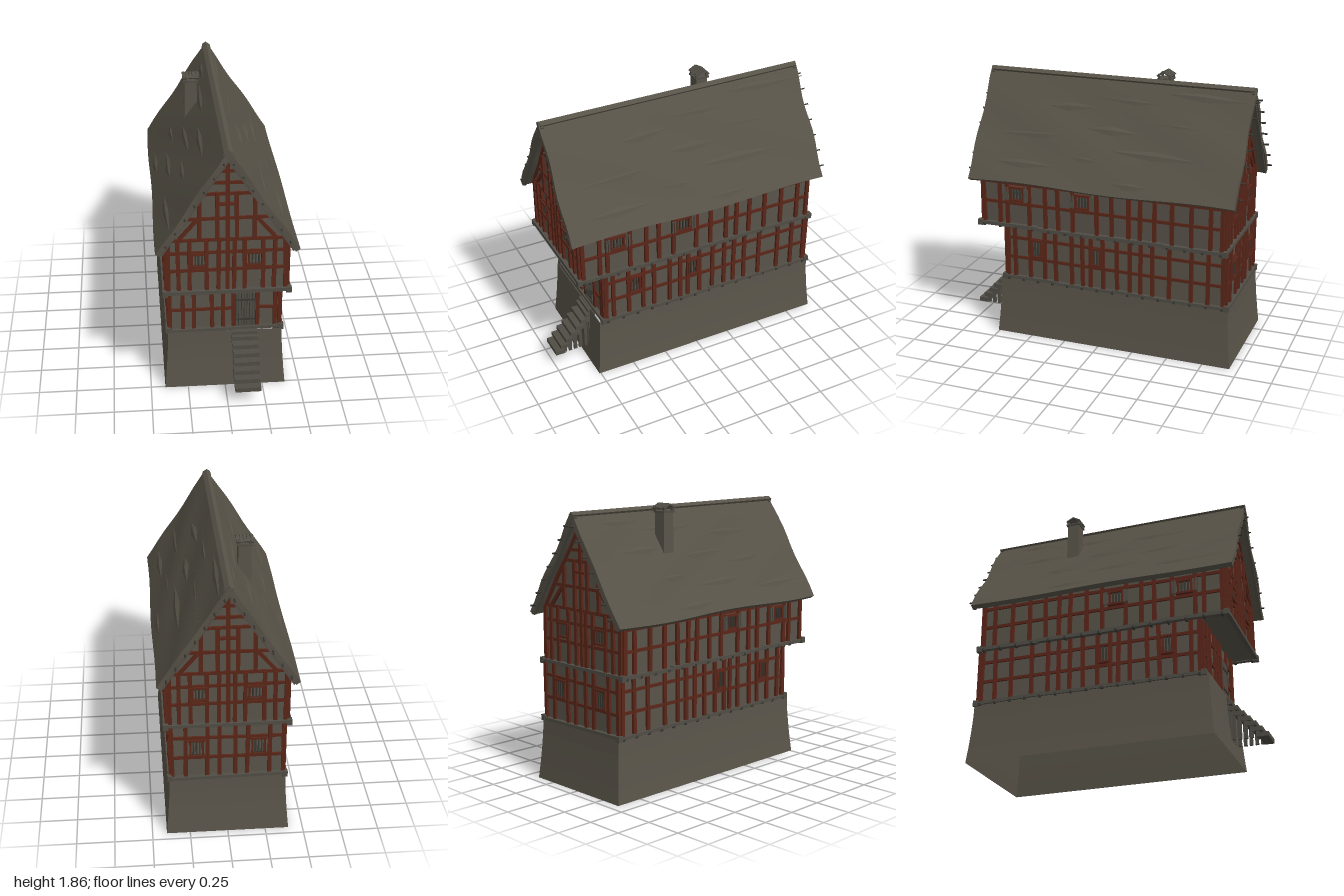
import * as THREE from 'three';

const mat = (name, color, side = THREE.FrontSide) => {
  const m = new THREE.MeshStandardMaterial({ color, side });
  m.name = name;
  return m;
};

export function createModel() {
  const plaster = mat('plaster', 0x59544a);
  const stone = mat('stone', 0x5a554a, THREE.DoubleSide);
  const thatch = mat('thatch', 0x575247);
  const timber = mat('redTimber', 0x5a2619);
  const greyWood = mat('greyWood', 0x504d45);
  const dark = mat('darkIron', 0x383731);

  const house = new THREE.Group();
  house.name = 'house';

  // Small seeded jitter in -s..s
  let seed = 7;
  const jit = (s) => {
    seed = (seed * 16807) % 2147483647;
    return (seed / 2147483647 * 2 - 1) * s;
  };
  const add = (parent, name, geo, m, x = 0, y = 0, z = 0) => {
    const mesh = new THREE.Mesh(geo, m);
    mesh.name = name;
    mesh.position.set(x, y, z);
    parent.add(mesh);
    return mesh;
  };
  const box = (parent, name, w, h, d, m, x, y, z) =>
    add(parent, name, new THREE.BoxGeometry(w, h, d), m, x, y, z);
  // Squared beam between two points
  const beam = (parent, name, a, b, w, d, m) => {
    const p = new THREE.Vector3(...a), q = new THREE.Vector3(...b);
    const dir = q.clone().sub(p);
    const mesh = box(parent, name, w, dir.length(), d, m, 0, 0, 0);
    mesh.position.copy(p).add(q).multiplyScalar(0.5);
    mesh.quaternion.setFromUnitVectors(new THREE.Vector3(0, 1, 0), dir.normalize());
    return mesh;
  };

  // Hollow battered base, open below
  const baseGeo = new THREE.CylinderGeometry(Math.SQRT1_2, Math.SQRT1_2, 0.42, 4, 4, true, Math.PI / 4).toNonIndexed();
  const bp = baseGeo.attributes.position;
  for (let i = 0; i < bp.count; i++) {
    const t = (bp.getY(i) + 0.21) / 0.42, flare = Math.pow(1 - t, 1.5);
    bp.setX(i, bp.getX(i) * (0.755 + 0.055 * flare));
    bp.setZ(i, bp.getZ(i) * (1.64 + 0.06 * flare));
  }
  baseGeo.computeVertexNormals();
  add(house, 'base', baseGeo, stone, 0, 0.21, -0.09);
  for (let i = 0; i < 13; i++)
    box(house, 'floorJoist', 0.74, 0.035, 0.035, greyWood, 0, 0.4, 0.64 - i * 0.122);

  // Storeys
  box(house, 'lowerStorey', 0.73, 0.42, 1.57, plaster, 0, 0.61, -0.10);
  const gable = new THREE.Shape([[-0.38, 0.81], [0.38, 0.81], [0.385, 1.18], [0, 1.775], [-0.385, 1.18]]
    .map(p => new THREE.Vector2(...p)));
  add(house, 'upperStorey', new THREE.ExtrudeGeometry(gable, { depth: 1.72, bevelEnabled: false }), plaster, 0, 0, -0.87);

  // Barred window with a timber frame, in wall coordinates
  const barWindow = (wall, u, y, w, h, shutters) => {
    const g = new THREE.Group();
    g.name = 'window';
    g.position.set(u, y, 0);
    wall.add(g);
    for (const s of [-1, 1]) {
      box(g, 'windowRail', w + 0.03, 0.014, 0.03, timber, 0, s * h / 2, 0.008);
      box(g, 'windowJamb', 0.012, h, 0.026, timber, s * w / 2, 0, 0.008);
      if (shutters) for (const k of [0.018, 0.036])
        box(g, 'shutterSlat', 0.011, h + jit(0.012), 0.012, greyWood, s * (w / 2 + k), 0, 0.022);
    }
    const n = Math.round(w / 0.021);
    for (let i = 1; i < n; i++)
      box(g, 'bar', 0.01, h, 0.012, dark, -w / 2 + w * i / n, 0, 0.01);
  };

  // Timber framing: wall local x runs along the wall, local z points outward
  const makeWall = (name, x, z, turn, y0, y1, posts, rails) => {
    const wall = new THREE.Group();
    wall.name = name;
    wall.position.set(x, 0, z);
    wall.rotation.y = turn;
    house.add(wall);
    for (const [u, a = y0, b = y1] of posts)
      beam(wall, 'post', [u + jit(0.004), a, 0.003], [u + jit(0.004), b, 0.003], 0.026, 0.028, timber);
    for (const [y, a, b] of rails)
      beam(wall, 'rail', [a, y + jit(0.004), 0.002], [b, y + jit(0.004), 0.002], 0.02, 0.02, timber);
    return wall;
  };

  // Long side walls, posts listed by z
  const lowPosts = [0.675, 0.62, 0.51, 0.4, 0.32, 0.2, 0.12, 0.06, -0.03, -0.13, -0.22, -0.3, -0.38, -0.5, -0.65, -0.77, -0.87];
  const upPosts = [0.84, 0.72, 0.66, 0.5, 0.38, 0.29, 0.18, 0.01, -0.1, -0.22, -0.3, -0.4, -0.52, -0.65, -0.78, -0.86];
  for (const s of [1, -1]) {
    const low = makeWall('lowerSideWall', s * 0.365, 0, s * Math.PI / 2, 0.42, 0.81,
      lowPosts.map(z => [-s * z]), [[0.72, -s * 0.68, s * 0.88], [0.575, -s * 0.68, s * 0.88]]);
    const up = makeWall('upperSideWall', s * 0.383, 0, s * Math.PI / 2, 0.82, 1.2,
      upPosts.map(z => [-s * z]), [[0.975, -s * 0.84, s * 0.86], [1.115, -s * 0.84, s * 0.86]]);
    for (const z of [0.46, 0.025]) barWindow(low, -s * z, 0.655, 0.065, 0.12, false);
    for (const z of [0.59, 0.11]) barWindow(up, -s * z, 1.045, 0.09, 0.09, true);
  }

  // Front and back lower walls
  const front = makeWall('lowerFrontWall', 0, 0.685, 0, 0.42, 0.81,
    [[-0.36], [-0.28], [-0.205], [-0.085], [-0.01], [0.06], [0.215], [0.335], [0.365]],
    [[0.715, -0.36, 0.36], [0.57, -0.36, 0.06], [0.57, 0.22, 0.36]]);
  const back = makeWall('lowerBackWall', 0, -0.885, Math.PI, 0.42, 0.81,
    [[-0.36], [-0.27], [-0.13], [-0.05], [0.05], [0.13], [0.27], [0.36]],
    [[0.72, -0.36, 0.36], [0.57, -0.36, 0.36]]);
  for (const u of [-0.2, 0.2]) barWindow(back, u, 0.645, 0.08, 0.12, false);

  // Plank door with ragged tops
  box(front, 'doorway', 0.13, 0.25, 0.008, dark, 0.137, 0.55, 0.005);
  for (let i = 0; i < 7; i++)
    box(front, 'doorPlank', 0.013, 0.28 + jit(0.02), 0.014, greyWood, 0.083 + i * 0.018, 0.565, 0.013);
  for (const y of [0.49, 0.64]) box(front, 'doorBatten', 0.12, 0.014, 0.01, dark, 0.137, y, 0.021);

  // Upper gable walls, front and back
  for (const [z, turn, name] of [[0.85, 0, 'frontGable'], [-0.87, Math.PI, 'backGable']]) {
    const top = (u) => 1.735 - Math.abs(u) * 1.545;
    const wall = makeWall(name, 0, z, turn, 0.82, 1.19,
      [[-0.37], [-0.31], [-0.235], [-0.13], [-0.055], [0.045], [0.11], [0.23], [0.3], [0.37], [0, 0.82, 1.76],
        [-0.06, 1.19, 1.52], [0.06, 1.19, 1.52], [-0.17, 1.19, top(0.17)], [0.17, 1.19, top(0.17)]],
      [[0.97, -0.38, 0.38], [1.1, -0.38, 0.38], [1.19, -0.38, 0.38], [1.34, -0.26, 0.26],
        [1.51, -0.15, 0.15], [1.58, -0.1, 0.1], [1.66, -0.06, 0.06]]);
    for (const s of [-1, 1]) {
      barWindow(wall, s * 0.18, 1.045, 0.085, 0.09, false);
      beam(wall, 'brace', [s * 0.19, 1.33, 0.004], [s * 0.3, 1.2, 0.004], 0.022, 0.024, timber);
      beam(wall, 'gableRafter', [s * 0.375, 1.18, 0.003], [0, 1.755, 0.003], 0.024, 0.022, timber);
    }
    box(wall, 'atticLintel', 0.1, 0.016, 0.032, timber, 0, 1.44, 0.006);
  }

  // Sill beams and projecting pegs below each storey
  for (const [y, hx, zf, zb, h] of [[0.423, 0.375, 0.7, -0.9, 0.022], [0.813, 0.395, 0.867, -0.885, 0.025]]) {
    for (const s of [-1, 1]) {
      for (let i = 0; i < 4; i++) {
        const at = (k) => zf + 0.015 + (zb - zf - 0.03) * k / 4;
        beam(house, 'sideSill', [s * hx, y + jit(0.006), at(i)], [s * hx, y + jit(0.006), at(i + 1)], 0.03, h, greyWood);
      }
      for (let i = 0; i < 15; i++)
        box(house, 'joistPeg', 0.04, 0.016, 0.016, dark, s * (hx - 0.002), y - 0.01, zf - 0.03 + (zb - zf + 0.06) * i / 14);
    }
    for (const z of [zf, zb])
      beam(house, 'endSill', [-hx - 0.012, y + jit(0.008), z], [hx + 0.012, y + jit(0.008), z], h, 0.03, greyWood);
    for (const x of [-hx, hx]) for (const z of [zf, zb])
      box(house, 'cornerBlock', 0.035, 0.04, 0.035, greyWood, x, y, z);
  }

  // Thatched slopes with a gentle sag
  const run = 0.45, rise = 0.69, slope = Math.hypot(run, rise), thick = 0.034;
  const pitch = Math.atan2(rise, run);
  for (const s of [-1, 1]) {
    const side = new THREE.Group();
    side.name = s > 0 ? 'leftRoof' : 'rightRoof';
    side.position.set(0, 1.83, -0.01);
    side.rotation.z = -s * pitch;
    house.add(side);
    const geo = new THREE.BoxGeometry(slope, thick, 1.88, 10, 1, 24);
    geo.translate(s * slope / 2, -thick / 2, 0);
    const p = geo.attributes.position;
    for (let i = 0; i < p.count; i++) {
      const x = p.getX(i), y = p.getY(i), z = p.getZ(i), d = Math.abs(x) / slope;
      p.setY(i, y + 0.006 * Math.sin(d * Math.PI) * Math.sin(z * 6 + d * 9 + s));
      p.setX(i, x + s * d * 0.008 * Math.sin(z * 5 + s * 2));
      if (Math.abs(z) > 0.9) p.setZ(i, z + 0.006 * Math.sin(d * 11 + s) * Math.sign(z));
    }
    geo.computeVertexNormals();
    add(side, 'thatch', geo, thatch);
    // Tapering creases in the thatch
    for (let i = 0; i < 10; i++) {
      const crease = add(side, 'thatchCrease', new THREE.OctahedronGeometry(1), thatch,
        s * (0.1 + i * 0.072), -0.002, ((i * 0.37) % 1 - 0.5) * 1.25);
      crease.scale.set(0.035, 0.011, 0.28 + jit(0.1));
      crease.rotation.set(0, jit(0.05), s * 0.1);
    }
    // Purlin tips at both ends, and barge boards
    for (let i = 0; i < 7; i++)
      box(side, 'purlin', 0.009, 0.009, 1.935 + jit(0.006), dark, s * (0.09 + i * 0.109), -0.024, -0.01);
    for (const z of [0.925, -0.925])
      box(side, 'bargeBoard', slope - 0.02, 0.014, 0.02, greyWood, s * slope / 2, -0.038, z);
  }

  // Chimney with a slatted cap
  const chimney = new THREE.Group();
  chimney.name = 'chimney';
  chimney.position.set(-0.155, 0, -0.29);
  house.add(chimney);
  const shaft = new THREE.CylinderGeometry(0.058, 0.064, 0.33, 4, 1, false, Math.PI / 4).toNonIndexed();
  shaft.computeVertexNormals();
  add(chimney, 'shaft', shaft, plaster, 0, 1.635, 0);
  box(chimney, 'capPlate', 0.1, 0.012, 0.1, greyWood, 0, 1.802, 0);
  for (const sx of [-1, 1]) for (const sz of [-1, 1])
    box(chimney, 'capPost', 0.015, 0.035, 0.015, greyWood, sx * 0.038, 1.82, sz * 0.038);
  for (const s of [-1, 1]) for (let i = 0; i < 5; i++)
    beam(chimney, 'capSlat', [-0.046 + i * 0.023, 1.825, s * 0.05], [-0.046 + i * 0.023, 1.853, 0], 0.019, 0.01, greyWood);

  // Stairs on posts
  for (let i = 0; i < 7; i++) {
    const y = 0.125 + i * 0.041, z = 0.965 - i * 0.039;
    const tread = box(house, 'tread', 0.172, 0.03, 0.068, greyWood, 0.13 + jit(0.004), y, z);
    tread.rotation.z = jit(0.02);
    if (i > 0) for (const x of [0.06, 0.2])
      box(house, 'stairPost', 0.018, y - 0.11, 0.022, greyWood, x, (y + 0.11) / 2, z);
  }
  box(house, 'stairBack', 0.13, 0.2, 0.03, greyWood, 0.13, 0.22, 0.735);
  box(house, 'landing', 0.17, 0.024, 0.06, greyWood, 0.13, 0.403, 0.715);

  return house;
}
